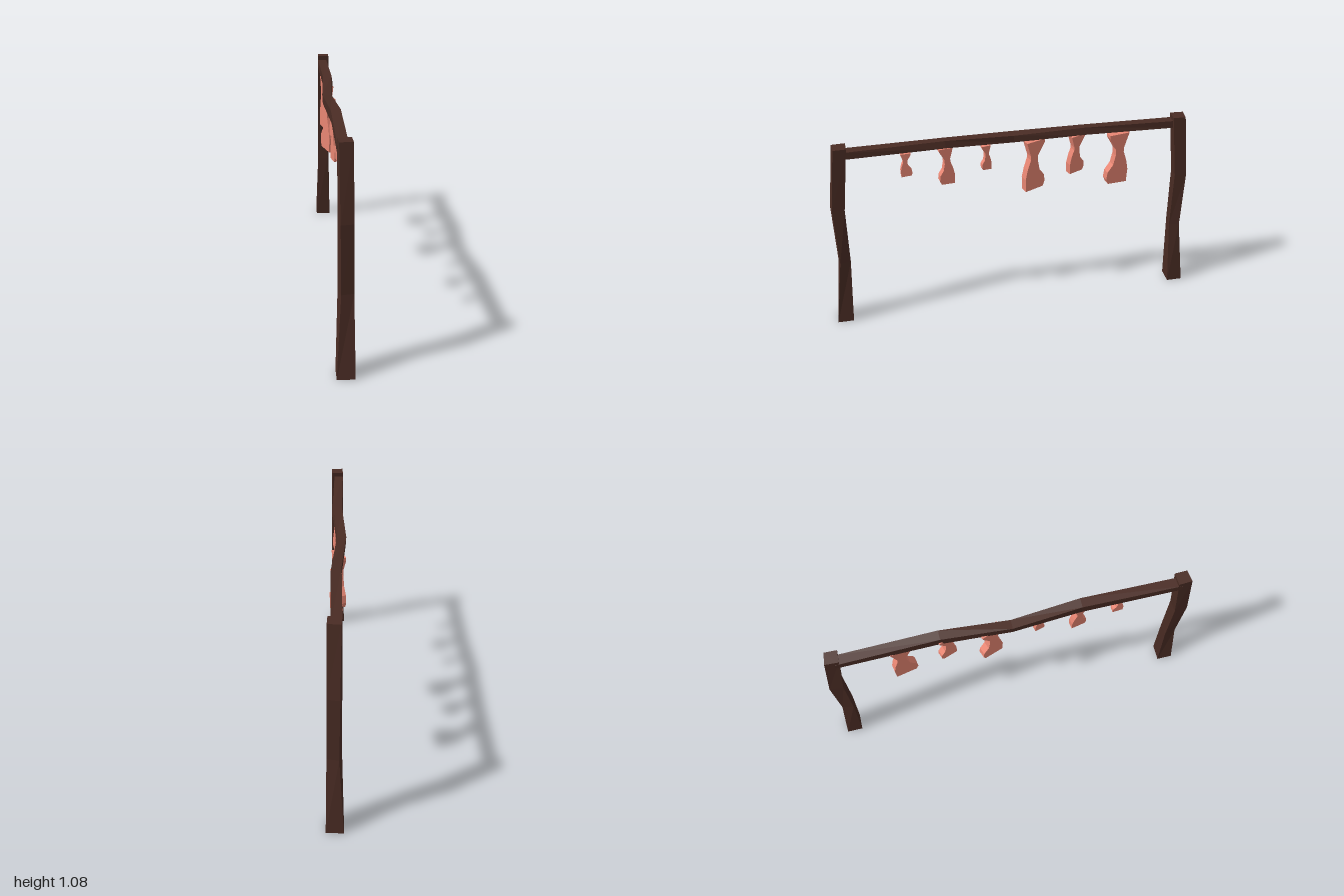
import * as THREE from 'three';

// Closed faceted solid through a series of four-cornered sections.
function loft(sections, material, name) {
  const pos = [];
  const quad = (a, b, c, d) => pos.push(...a, ...b, ...c, ...a, ...c, ...d);
  for (let i = 0; i < sections.length - 1; i++) {
    const s = sections[i], t = sections[i + 1];
    for (let k = 0; k < 4; k++) {
      const n = (k + 1) % 4;
      quad(s[k], s[n], t[n], t[k]);
    }
  }
  const first = sections[0], last = sections[sections.length - 1];
  quad(first[3], first[2], first[1], first[0]);
  quad(...last);
  const geo = new THREE.BufferGeometry();
  geo.setAttribute('position', new THREE.Float32BufferAttribute(pos, 3));
  geo.computeVertexNormals();
  const mesh = new THREE.Mesh(geo, material);
  mesh.name = name;
  return mesh;
}

export function createModel() {
  const model = new THREE.Group();
  model.name = 'meatRack';
  const wood = new THREE.MeshStandardMaterial({ color: 0x4a2c24, flatShading: true });
  const meat = new THREE.MeshStandardMaterial({ color: 0xe98673, flatShading: true });

  // Crooked posts: height, then x and z of each corner (counter-clockwise from below)
  const postRings = [
    [0, [[-0.04, 1], [0.045, 1], [0.045, 0.915], [-0.04, 0.915]]],
    [0.4, [[-0.018, 0.95], [0.04, 0.94], [0.03, 0.885], [-0.03, 0.89]]],
    [0.73, [[-0.022, 0.95], [0.038, 0.94], [0.035, 0.877], [-0.03, 0.88]]],
    [1.08, [[-0.026, 0.9], [0.035, 0.893], [0.033, 0.829], [-0.03, 0.832]]],
  ];
  for (const side of [1, -1]) {
    const rings = postRings.map(([y, corners]) => {
      const ring = corners.map(([x, z]) => [x, y, z * side]);
      return side > 0 ? ring : ring.reverse();
    });
    model.add(loft(rings, wood, side > 0 ? 'frontPost' : 'backPost'));
  }

  // Uneven crossbar: x and y of the four corners along z
  const end = [[-0.03, 1.012], [0.02, 1.016], [0.02, 1.055], [-0.03, 1.053]];
  const hump = [[-0.022, 1.0], [0.028, 1.03], [0.022, 1.068], [-0.025, 1.062]];
  const dip = [[-0.045, 1.003], [0.0, 1.01], [0.0, 1.048], [-0.048, 1.05]];
  const barRings = [[-0.86, end], [-0.35, hump], [0, dip], [0.35, hump], [0.86, end]];
  model.add(loft(barRings.map(([z, c]) => c.map(([x, y]) => [x, y, z])), wood, 'crossbar'));

  // Hanging cuts: one outline, unit width and unit drop, scaled per piece
  const outline = [
    [0.46, 0], [0.46, -0.06], [0.13, -0.3], [0.13, -0.42], [0.22, -0.6],
    [0.46, -0.74], [0.5, -0.88], [0.4, -0.98], [-0.48, -1], [-0.5, -0.74],
    [-0.4, -0.55], [-0.24, -0.36], [-0.24, -0.28], [-0.44, 0],
  ];
  // z, x, width, top, bottom, thickness, turn in degrees, mirrored
  const cuts = [
    [0.55, 0, 0.058, 1.01, 0.88, 0.025, 5, 1],
    [0.35, 0, 0.08, 1.02, 0.812, 0.035, 10, 0],
    [0.145, 0, 0.052, 1.01, 0.872, 0.025, 12, 0],
    [-0.105, -0.01, 0.117, 1.008, 0.72, 0.04, 20, 1],
    [-0.325, 0, 0.088, 1.02, 0.805, 0.035, 20, 1],
    [-0.55, 0, 0.122, 1.008, 0.71, 0.04, 10, 0],
  ];
  cuts.forEach(([z, x, width, top, bottom, thick, turn, mirrored], i) => {
    const flip = mirrored ? -1 : 1;
    const shape = new THREE.Shape(outline.map(
      ([u, v]) => new THREE.Vector2(u * width * flip, v * (top - bottom))));
    const geo = new THREE.ExtrudeGeometry(shape, { depth: thick, bevelEnabled: false });
    geo.translate(0, 0, -thick / 2).rotateY(-Math.PI / 2);
    const cut = new THREE.Mesh(geo, meat);
    cut.name = `hangingMeat${i + 1}`;
    cut.position.set(x, top, z);
    cut.rotation.y = THREE.MathUtils.degToRad(turn);
    model.add(cut);
  });
  return model;
}
